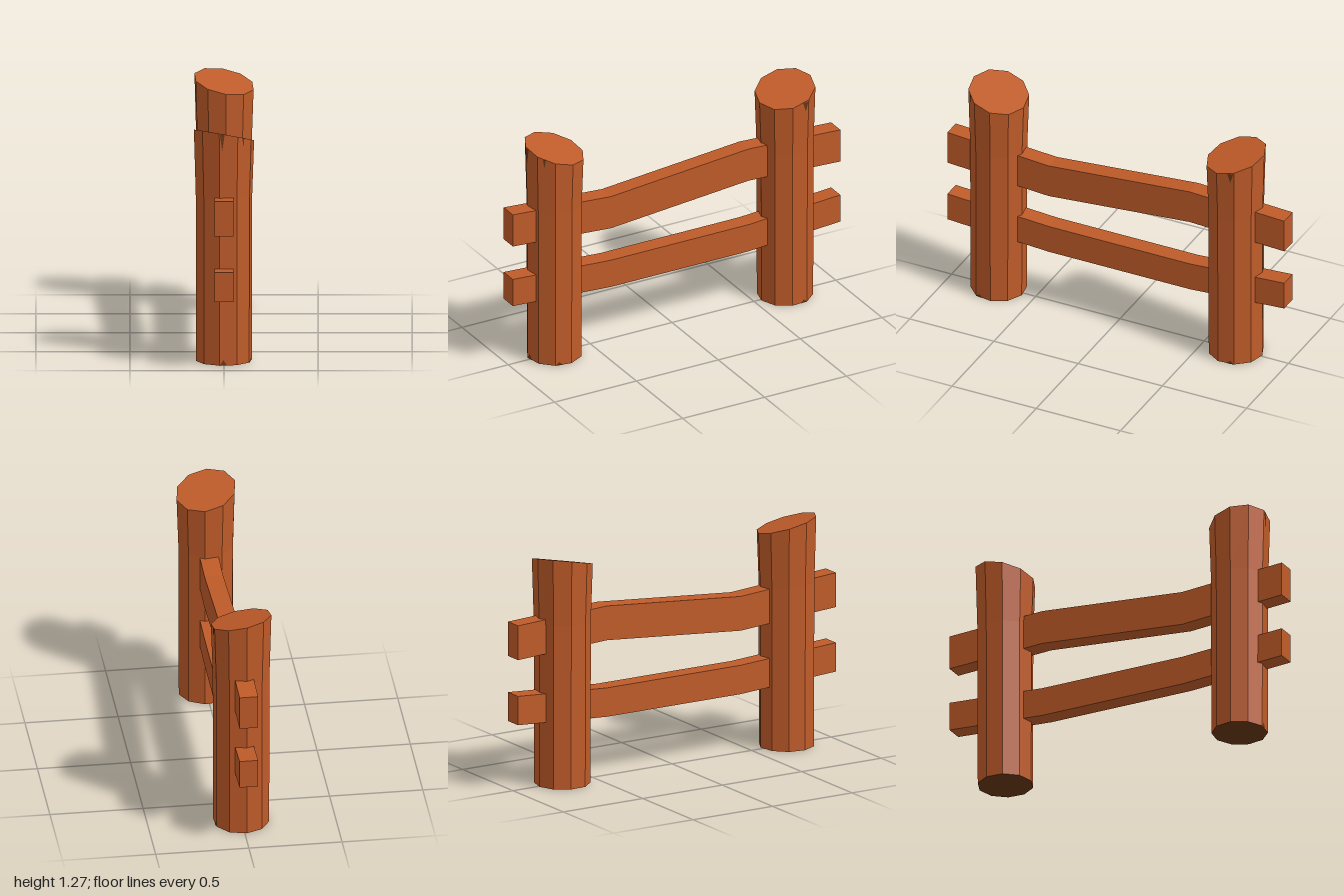
import * as THREE from 'three';

const wood = new THREE.MeshStandardMaterial({ color: 0xbf5b29, flatShading: true });
wood.name = 'orange brown wood';
const darkWood = new THREE.MeshStandardMaterial({ color: 0x683613, flatShading: true });
darkWood.name = 'dark brown wood';

// Ten-sided post, flared above the rails, with a slanted cut on top and a dark foot
function makePost(name, z, turn, slopeZ) {
  const geo = new THREE.CylinderGeometry(1, 1, 2, 10, 2, false, THREE.MathUtils.degToRad(turn));
  const p = geo.attributes.position;
  for (let i = 0; i < p.count; i++) {
    const row = Math.round(p.getY(i)) + 1; // 0 foot, 1 flare start, 2 top
    const r = [0.15, 0.152, 0.162][row];
    const px = p.getX(i) * r;
    const pz = p.getZ(i) * r;
    const y = [0, 0.9, 1.222 - 0.18 * px + slopeZ * pz][row];
    p.setXYZ(i, px, y, pz);
  }
  geo.computeVertexNormals();
  const post = new THREE.Group();
  post.name = name;
  post.position.z = z;
  const trunk = new THREE.Mesh(geo, [wood, wood, darkWood]);
  trunk.name = 'trunk';
  post.add(trunk);
  return post;
}

// Thin dark split on the facet facing `angle`; positive height points up, negative down
function addCrack(post, angle, u, y, apothem, width, height) {
  const w = width / 2;
  const shape = new THREE.Shape([
    new THREE.Vector2(-w, 0),
    new THREE.Vector2(w, 0),
    new THREE.Vector2(0, height),
  ]);
  const crack = new THREE.Mesh(new THREE.ShapeGeometry(shape), darkWood);
  crack.name = 'crack';
  crack.position.set(u, y, apothem + 0.002);
  const facet = new THREE.Group();
  facet.name = 'crackedFacet';
  facet.rotation.y = THREE.MathUtils.degToRad(angle);
  facet.add(crack);
  post.add(facet);
}

// Bent plank following [z, y] points along its underside
function makeRail(name, path, height) {
  const pts = path.map(([z, y]) => new THREE.Vector2(z, y));
  const top = path.map(([z, y]) => new THREE.Vector2(z, y + height)).reverse();
  const geo = new THREE.ExtrudeGeometry(new THREE.Shape([...pts, ...top]), {
    depth: 0.1,
    bevelEnabled: false,
  });
  geo.rotateY(-Math.PI / 2);
  geo.translate(0.05, 0, 0);
  const rail = new THREE.Mesh(geo, wood);
  rail.name = name;
  return rail;
}

export function createModel() {
  const fence = new THREE.Group();
  fence.name = 'fence';
  const front = makePost('frontPost', 0.72, -9, 0.22);
  const back = makePost('backPost', -0.69, 4, -0.22);

  // Splits running down from the cut tops
  addCrack(front, 9, -0.034, 1.256, 0.154, 0.026, -0.09);
  addCrack(front, 45, -0.01, 1.228, 0.154, 0.016, -0.05);
  addCrack(back, 94, 0.03, 1.2, 0.154, 0.035, -0.055);

  // Small splits at the feet
  addCrack(front, 9, -0.026, 0, 0.1427, 0.04, 0.03);
  addCrack(front, 81, -0.025, 0, 0.1427, 0.04, 0.02);
  addCrack(back, 94, 0.025, 0, 0.1427, 0.04, 0.02);

  fence.add(
    front,
    back,
    makeRail('upperRail', [[-1, 0.732], [-0.44, 0.759], [0.4, 0.687], [1, 0.729]], 0.189),
    makeRail('lowerRail', [[-1, 0.373], [-0.44, 0.337], [0.4, 0.337], [1, 0.373]], 0.159),
  );
  return fence;
}
